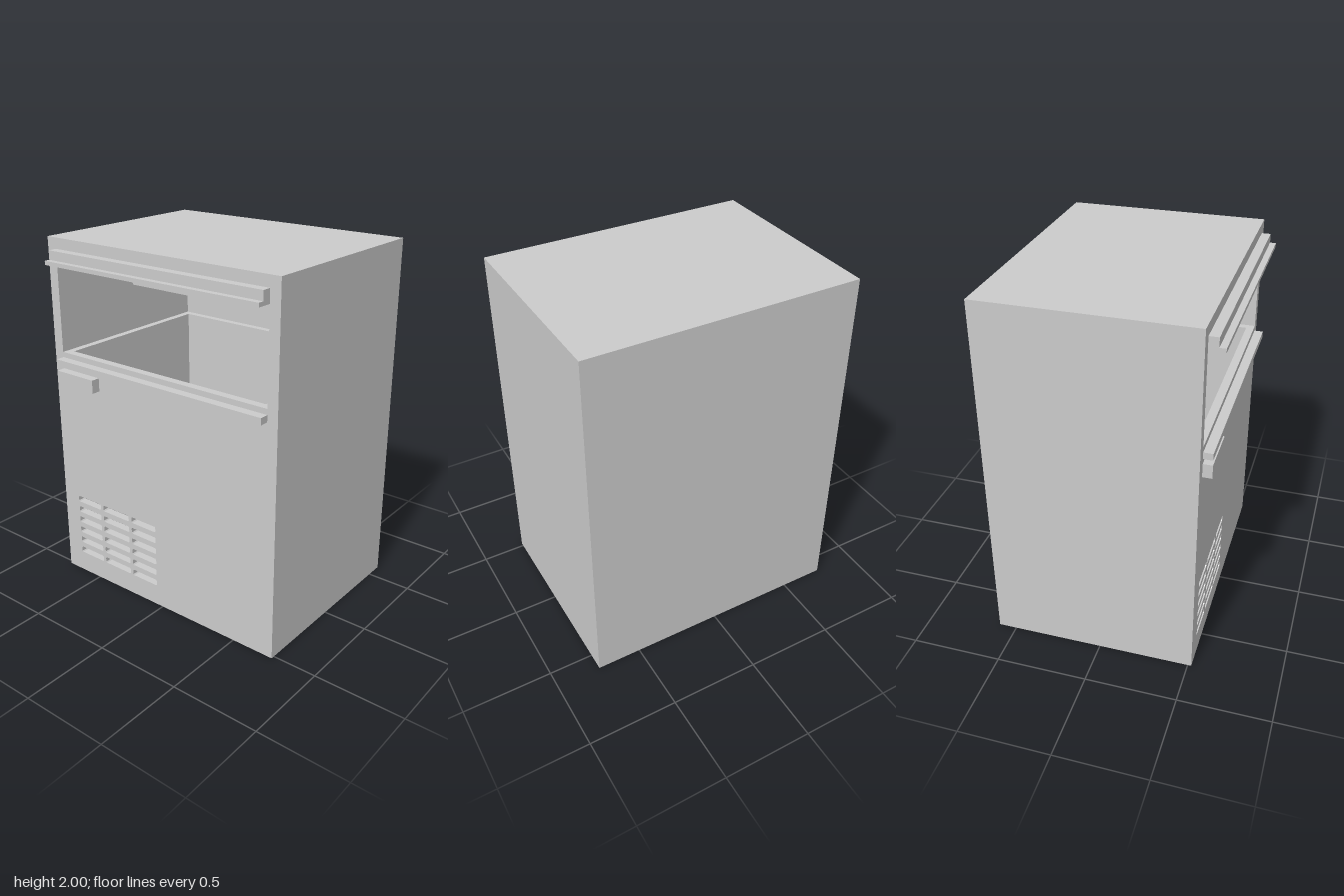
import * as THREE from 'three';

const material = new THREE.MeshStandardMaterial({ color: 0xcccccc, flatShading: true });

// Rectangle outline with optional clipped corners
function rect(path, x0, x1, y0, y1, c = 0) {
  const pts = c
    ? [[x0 + c, y0], [x1 - c, y0], [x1, y0 + c], [x1, y1 - c], [x1 - c, y1], [x0 + c, y1], [x0, y1 - c], [x0, y0 + c]]
    : [[x0, y0], [x1, y0], [x1, y1], [x0, y1]];
  path.setFromPoints(pts.map(([x, y]) => new THREE.Vector2(x, y)));
  path.closePath();
  return path;
}

export function createModel() {
  const model = new THREE.Group();
  model.name = 'iceMachine';

  const add = (name, geometry) => {
    const mesh = new THREE.Mesh(geometry, material);
    mesh.name = name;
    model.add(mesh);
    return mesh;
  };
  // Box given by its limits on each axis
  const box = (name, x0, x1, y0, y1, z0, z1) =>
    add(name, new THREE.BoxGeometry(x1 - x0, y1 - y0, z1 - z0))
      .position.set((x0 + x1) / 2, (y0 + y1) / 2, (z0 + z1) / 2);

  const W = 0.75, IN = 0.69, BACK = -0.6, FRONT = 0.52, PANEL = 0.475;

  // Cabinet shell
  box('leftSide', IN, W, 0, 2, BACK, PANEL);
  box('rightSide', -W, -IN, 0, 2, BACK, PANEL);
  box('backPanel', -IN, IN, 0, 2, BACK, -0.545);
  box('topPanel', -IN, IN, 1.94, 2, -0.545, PANEL);
  box('basePanel', -IN, IN, 0, 0.05, -0.545, PANEL);

  // Front panel with bin opening and ventilation slots
  const front = rect(new THREE.Shape(), -W, W, 0, 2);
  front.holes.push(rect(new THREE.Path(), -IN, IN, 1.37, 1.89));
  for (const [x0, x1] of [[-0.64, -0.46], [-0.44, -0.24], [-0.22, -0.04]]) {
    for (let row = 0; row < 6; row++) {
      const y = 0.14 + row * 0.068;
      front.holes.push(rect(new THREE.Path(), x0, x1, y - 0.018, y + 0.018, 0.006));
    }
  }
  add('frontPanel', new THREE.ExtrudeGeometry(front, { depth: FRONT - PANEL, bevelEnabled: false }))
    .position.z = PANEL;

  // Ice bin liner, its top forming a ledge level with the opening
  box('binLeftLiner', 0.65, IN, 0.55, 1.37, -0.545, PANEL);
  box('binRightLiner', -IN, -0.65, 0.55, 1.37, -0.545, PANEL);
  box('binBackLiner', -0.65, 0.65, 0.55, 1.37, -0.545, -0.505);
  box('binFloor', -0.65, 0.65, 0.55, 0.6, -0.505, PANEL);

  // Ice-making compartment above the bin, machine bay wall behind the slots
  box('iceMakerHousing', -IN, IN, 1.64, 1.94, -0.545, -0.05);
  box('machineBayWall', -IN, IN, 0.05, 0.55, -0.05, 0);

  // Door handle: rail with a projecting lip
  box('handleRail', -IN, IN, 1.89, 1.94, FRONT, 0.57);
  box('handleLip', -IN, IN, 1.868, 1.89, FRONT, 0.603);

  // Trim below the opening and control box
  box('lowerTrim', -IN, IN, 1.303, 1.34, FRONT, 0.57);
  box('controlBox', -IN, -0.42, 1.2, 1.275, FRONT, 0.57);

  return model;
}
